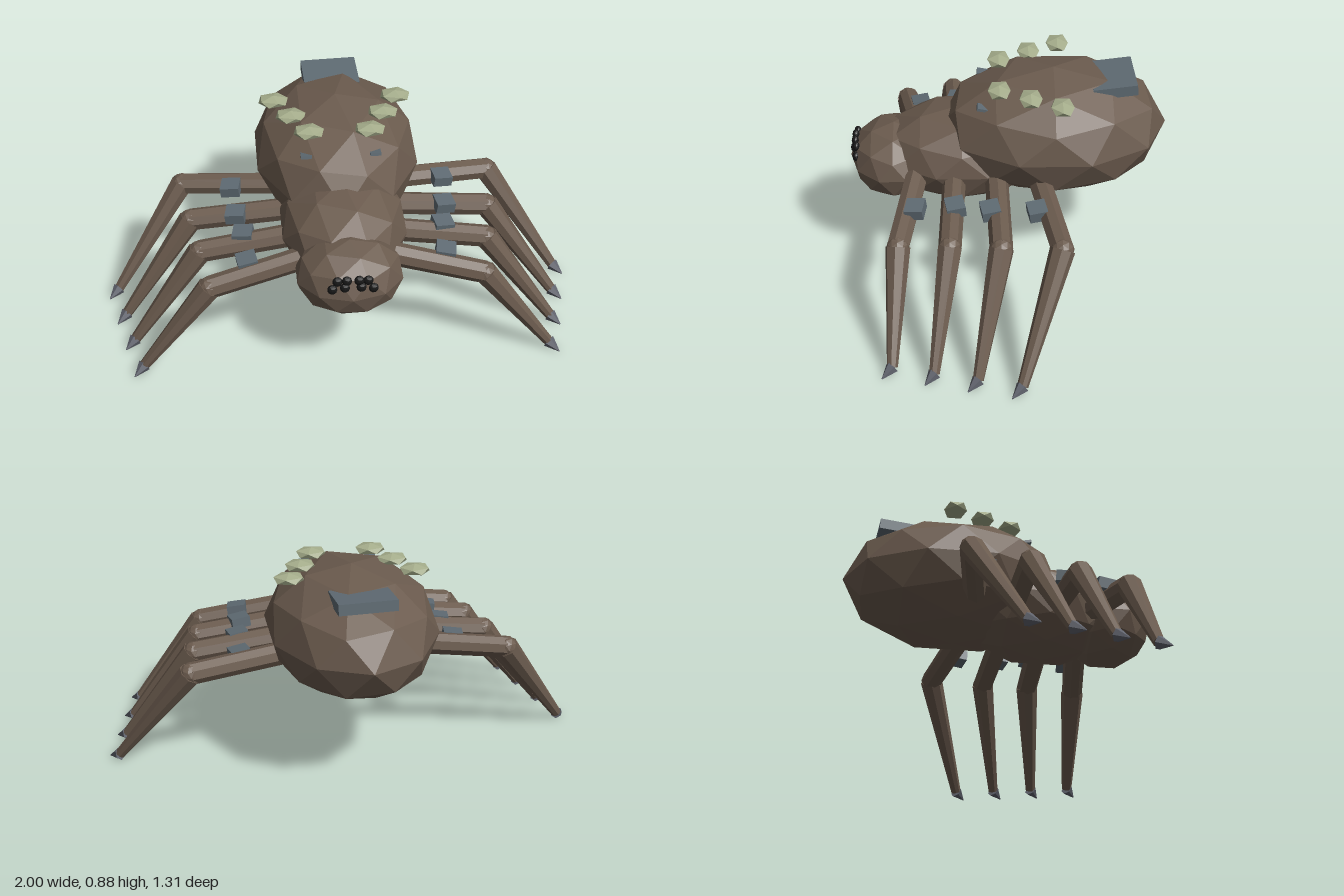
import * as THREE from 'three';

export function createModel() {
  const model = new THREE.Group();
  const mat = (name, color) => {
    const m = new THREE.MeshStandardMaterial({ color, flatShading: true });
    m.name = name;
    return m;
  };
  const brown = mat('brown shell', 0x6b5b4e);
  const slate = mat('slate plate', 0x5f6b73);
  const clawGrey = mat('claw grey', 0x60636d);
  const moss = mat('pale moss', 0xa5ad8b);
  const black = mat('eye black', 0x171717);

  const add = (name, geo, material, pos = [0, 0, 0], rot = [0, 0, 0]) => {
    const mesh = new THREE.Mesh(geo, material);
    mesh.name = name;
    mesh.position.set(...pos);
    mesh.rotation.set(...rot);
    model.add(mesh);
    return mesh;
  };

  // Faceted ellipsoid with a corner pointing straight up
  const blob = (name, material, pos, radii, detail = 1) => {
    const geo = new THREE.IcosahedronGeometry(1, detail);
    geo.rotateZ(-Math.atan(2 / (1 + Math.sqrt(5))));
    geo.scale(...radii);
    return add(name, geo, material, pos);
  };

  // Tapered limb segment between two points
  const limb = (name, material, a, b, ra, rb, sides = 8) => {
    const from = new THREE.Vector3(...a), to = new THREE.Vector3(...b);
    const dir = to.clone().sub(from);
    const mesh = add(name, new THREE.CylinderGeometry(rb, ra, dir.length(), sides), material);
    mesh.position.copy(from).add(to).multiplyScalar(0.5);
    mesh.quaternion.setFromUnitVectors(new THREE.Vector3(0, 1, 0), dir.normalize());
    return mesh;
  };

  // Body
  blob('abdomen', brown, [0, 0.62, -0.187], [0.352, 0.265, 0.47]);
  blob('thorax', brown, [0, 0.507, 0.187], [0.265, 0.2, 0.345]);
  blob('head', brown, [0, 0.467, 0.472], [0.22, 0.16, 0.185]);

  // Slab set into the rear of the back
  add('backPlate', new THREE.BoxGeometry(0.235, 0.045, 0.18), slate, [0, 0.828, -0.43], [0.1, 0.04, 0]);

  // hip, knee, ankle, tip and armour plate centre of each left leg, front to back
  const legs = [
    { hip: [0.17, 0.475, 0.375], knee: [0.555, 0.4, 0.44], ankle: [0.84, 0.03, 0.465], tip: [0.88, 0.004, 0.505], plate: [0.4, 0.47, 0.375] },
    { hip: [0.17, 0.48, 0.22], knee: [0.59, 0.425, 0.235], ankle: [0.88, 0.03, 0.3], tip: [0.92, 0.004, 0.337], plate: [0.41, 0.485, 0.215] },
    { hip: [0.17, 0.485, 0.05], knee: [0.625, 0.44, 0.035], ankle: [0.92, 0.03, 0.13], tip: [0.96, 0.004, 0.17], plate: [0.435, 0.485, 0.075] },
    { hip: [0.2, 0.49, -0.12], knee: [0.66, 0.46, -0.2], ankle: [0.96, 0.03, -0.04], tip: [1.0, 0.004, 0.0], plate: [0.45, 0.49, -0.11] },
  ];
  const eyes = [[0.024, 0.552, 0.634], [0.06, 0.546, 0.628], [0.032, 0.523, 0.638], [0.08, 0.51, 0.63]];
  const spots = [[0.124, 0.85, 0.035], [0.19, 0.85, -0.09], [0.255, 0.85, -0.213]];

  for (const s of [1, -1]) {
    const side = s > 0 ? 'left' : 'right';
    const flip = ([x, y, z]) => [s * x, y, z];

    legs.forEach((leg, i) => {
      const id = `${side}Leg${i + 1}`;
      limb(`${id}Upper`, brown, flip(leg.hip), flip(leg.knee), 0.048, 0.046);
      blob(`${id}Knee`, brown, flip(leg.knee), [0.046, 0.046, 0.046]);
      limb(`${id}Lower`, brown, flip(leg.knee), flip(leg.ankle), 0.05, 0.022);
      limb(`${id}Claw`, clawGrey, flip(leg.ankle), flip(leg.tip), 0.028, 0.002, 6);
      add(`${id}Plate`, new THREE.BoxGeometry(0.08, 0.045, 0.075), slate,
        flip(leg.plate), [0.1, s * (i < 1 ? -0.17 : 0.17), -s * 0.12]);
    });

    eyes.forEach((p, i) => blob(`${side}Eye${i + 1}`, black, flip(p), [0.02, 0.021, 0.015]));
    spots.forEach((p, i) => blob(`${side}BackSpot${i + 1}`, moss, flip(p), [0.069, 0.023, 0.054], 0));

    // Small chip barely breaking the shell
    add(`${side}ShellChip`, new THREE.BoxGeometry(0.045, 0.012, 0.05), slate, [s * 0.14, 0.778, 0.1], [-0.2, 0, 0]);
  }
  return model;
}
